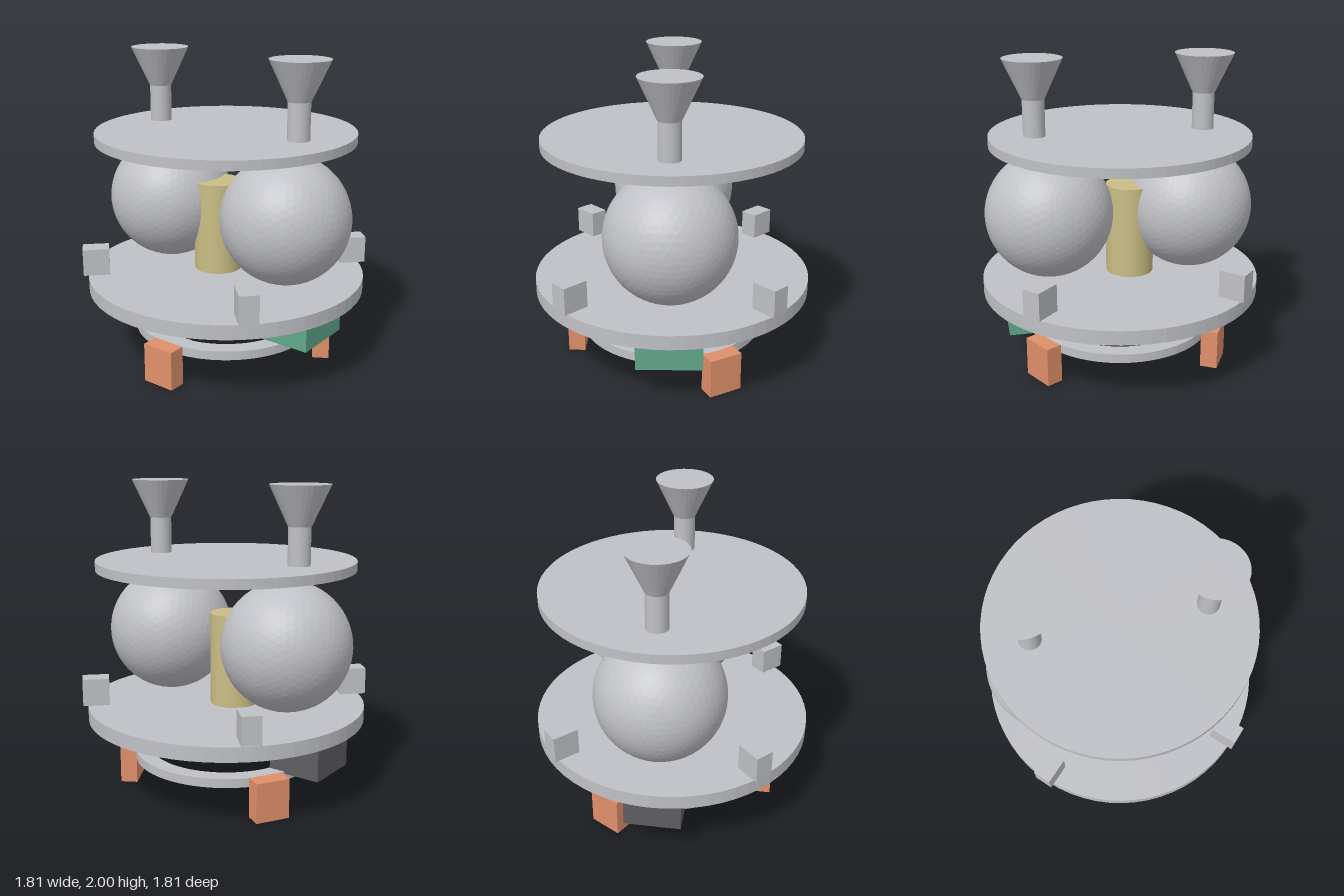
import * as THREE from 'three';

export function createModel() {
  const model = new THREE.Group();
  const mat = (name, color) => {
    const m = new THREE.MeshStandardMaterial({ color, flatShading: true });
    m.name = name;
    return m;
  };
  const grey = mat('light grey', 0xc0c1c6);
  const orange = mat('orange', 0xe0906a);
  const green = mat('green', 0x61a78b);
  const dark = mat('dark grey', 0x5e5e61);
  const sand = mat('sand', 0xcabd85);

  const add = (name, geometry, material, x = 0, y = 0, z = 0, turn = 0) => {
    const mesh = new THREE.Mesh(geometry, material);
    mesh.name = name;
    mesh.position.set(x, y, z);
    mesh.rotation.y = turn;
    model.add(mesh);
    return mesh;
  };
  // Upright cylinder or cone between two heights
  const drum = (name, material, rTop, rBottom, y0, y1, x = 0, sides = 48) =>
    add(name, new THREE.CylinderGeometry(rTop, rBottom, y1 - y0, sides), material, x, (y0 + y1) / 2);
  // Box facing outwards at an angle measured from +z
  const radialBox = (name, material, w, d, y0, y1, radius, angle) =>
    add(name, new THREE.BoxGeometry(w, y1 - y0, d), material,
      Math.sin(angle) * radius, (y0 + y1) / 2, Math.cos(angle) * radius, angle);

  // Plates and central columns
  drum('lowerPlate', grey, 0.907, 0.907, 0.48, 0.572, 0, 64);
  drum('upperPlate', grey, 0.834, 0.834, 1.455, 1.515, 0, 64);
  drum('lowerColumn', grey, 0.173, 0.173, 0.25, 0.48);
  drum('centralTank', sand, 0.156, 0.156, 0.57, 1.17, -0.065);

  // Spherical tanks and the funnels above them
  for (const side of [-1, 1]) {
    add('sphereTank', new THREE.IcosahedronGeometry(0.412, 9), grey, side * 0.465, 1.003, 0);
    drum('funnelPipe', grey, 0.07, 0.07, 1.515, 1.752, side * 0.545, 32);
    drum('funnelCone', grey, 0.188, 0.072, 1.75, 2, side * 0.545, 32);
  }

  // Four blocks around the lower plate
  for (let i = 0; i < 4; i++) {
    radialBox('rimBlock', grey, 0.12, 0.17, 0.587, 0.762, 0.853, Math.PI / 4 + i * Math.PI / 2);
  }

  // Boxes hanging under the plate
  add('greenBox', new THREE.BoxGeometry(0.375, 0.223, 0.41), green, 0.577, 0.369, 0);
  add('darkBox', new THREE.BoxGeometry(0.345, 0.238, 0.36), dark, -0.642, 0.361, 0);

  // Base ring
  const ring = new THREE.Shape().absarc(0, 0, 0.605, 0, Math.PI * 2);
  ring.holes.push(new THREE.Path().absarc(0, 0, 0.5, 0, Math.PI * 2, true));
  const ringGeometry = new THREE.ExtrudeGeometry(ring, { depth: 0.058, bevelEnabled: false, curveSegments: 64 });
  ringGeometry.rotateX(-Math.PI / 2);
  add('baseRing', ringGeometry, grey, 0, 0.197, 0);

  // Three feet with a clip under the ring behind each
  for (let i = 0; i < 3; i++) {
    const angle = i * Math.PI * 2 / 3;
    radialBox('foot', orange, 0.22, 0.11, 0, 0.255, 0.648, angle);
    radialBox('footClip', grey, 0.14, 0.165, 0.18, 0.225, 0.522, angle);
  }
  return model;
}
